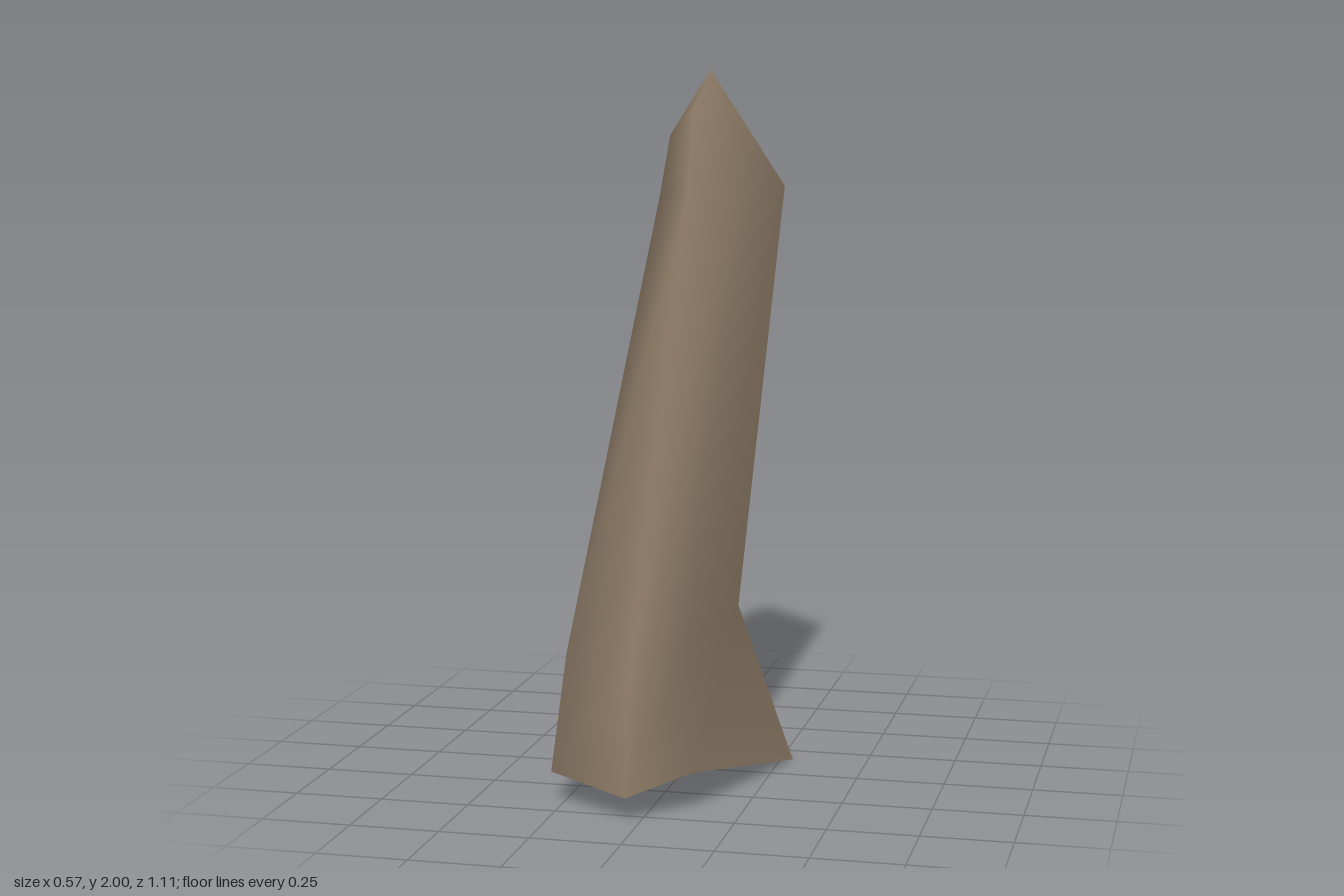
import * as THREE from 'three';

export function createModel() {
  const group = new THREE.Group();
  group.name = 'splinteredShard';

  const bark = new THREE.MeshStandardMaterial({ color: 0x857460, side: THREE.DoubleSide });
  bark.name = 'bark brown';

  // Open-backed cross-sections, each running: left-hand rim, left fold, ridge, right fold, right-hand rim
  const sections = [
    // flared foot
    [[-0.278, 0.225, -0.18], [-0.285, 0.085, 0.415], [-0.04, 0.065, 0.555], [0.12, 0.11, 0.42], [0.285, 0, -0.157]],
    // waist above the flare
    [[-0.26, 0.42, -0.115], [-0.262, 0.4, 0.335], [-0.045, 0.375, 0.48], [0.08, 0.42, 0.34], [0.137, 0.47, -0.08]],
    // shoulder
    [[-0.133, 1.64, -0.485], [-0.138, 1.64, -0.26], [-0.045, 1.64, -0.215], [0.07, 1.62, -0.25], [0.175, 1.655, -0.555]],
    // pointed tip; the right side closes onto the peak
    [[-0.115, 1.82, -0.54], [-0.122, 1.81, -0.32], [-0.045, 1.89, -0.31], [-0.045, 2, -0.517]],
  ];
  const columns = 5;
  const points = sections.flat();
  const peak = points.length - 1;
  const at = (row, col) => Math.min(row * columns + col, peak);

  const index = [];
  const quad = (a, b, c, d) => {
    index.push(a, b, c);
    if (c !== d) index.push(a, c, d);
  };
  for (let row = 0; row < sections.length - 1; row++) {
    for (let col = 0; col < columns - 1; col++) {
      quad(at(row, col), at(row, col + 1), at(row + 1, col + 1), at(row + 1, col));
    }
  }
  // Small sloping cap behind the tip
  quad(at(3, 1), at(3, 2), peak, at(3, 0));

  const geometry = new THREE.BufferGeometry();
  geometry.setAttribute('position', new THREE.Float32BufferAttribute(points.flat(), 3));
  geometry.setIndex(index);
  geometry.computeVertexNormals();

  const shell = new THREE.Mesh(geometry, bark);
  shell.name = 'curvedShell';
  group.add(shell);
  return group;
}
